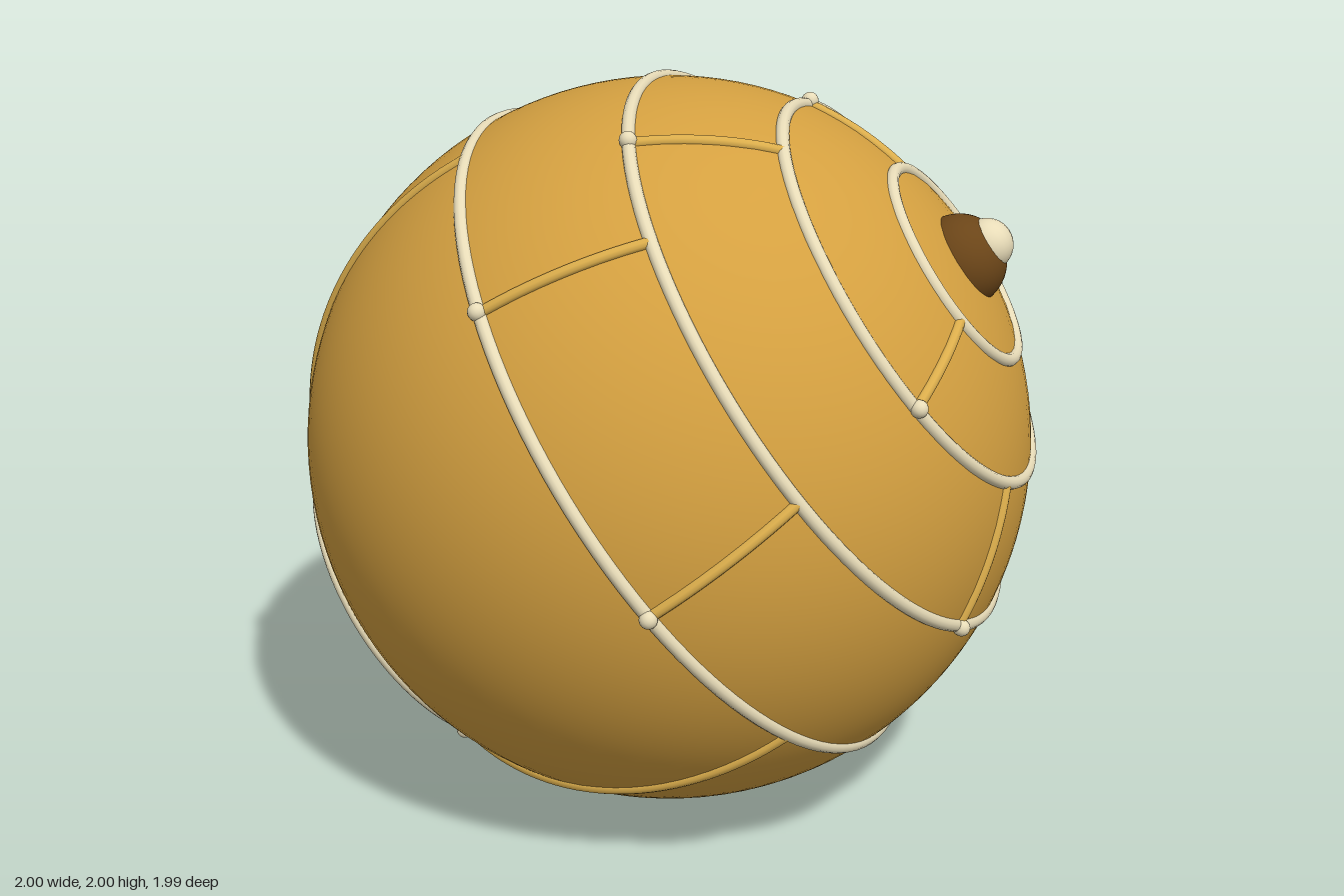
import * as THREE from 'three';

const R = 0.993; // shell radius
const material = (color) => new THREE.MeshStandardMaterial({ color });

// Point on the globe: theta from the +z pole, phi around it (degrees)
function globePoint(radius, theta, phi) {
  const t = THREE.MathUtils.degToRad(theta);
  const p = THREE.MathUtils.degToRad(phi);
  return new THREE.Vector3(Math.sin(t) * Math.cos(p), Math.sin(t) * Math.sin(p), Math.cos(t)).multiplyScalar(radius);
}

export function createModel() {
  const gold = material(0xd4a040);
  const strutGold = material(0xdcae4c);
  const cream = material(0xe8dcb8);
  const brown = material(0x6b4518);

  const model = new THREE.Group();
  model.name = 'bandedGlobe';
  const globe = new THREE.Group();
  globe.name = 'globe';
  model.add(globe);

  function add(name, geometry, mat, position) {
    const mesh = new THREE.Mesh(geometry, mat);
    mesh.name = name;
    if (position) mesh.position.copy(position);
    globe.add(mesh);
    return mesh;
  }

  // Shell
  add('shell', new THREE.SphereGeometry(R, 96, 64), gold);

  // Latitude rings, each with the struts that reach it from the ring before
  const rings = [
    { theta: 17, struts: [] },
    { theta: 35.5, struts: [72.6, 197.7, 318] },
    { theta: 58.2, struts: [118.2, 244.1, 353] },
    { theta: 84.5, struts: [56.3, 141.6, 191.9, 277.8, 348.2] },
    { theta: 150, struts: [22, 107.5, 225.5, 312] },
  ];
  const ringRadius = 0.99;
  const nodeGeometry = new THREE.SphereGeometry(0.023, 16, 12);

  rings.forEach(({ theta, struts }, i) => {
    const t = THREE.MathUtils.degToRad(theta);
    add('ring', new THREE.TorusGeometry(ringRadius * Math.sin(t), 0.018, 12, 112), cream,
      new THREE.Vector3(0, 0, ringRadius * Math.cos(t)));

    for (const phi of struts) {
      const start = rings[i - 1].theta;
      const points = [];
      for (let k = 0; k <= 12; k++) {
        points.push(globePoint(ringRadius + 0.002, start + (theta - start) * k / 12, phi));
      }
      const path = new THREE.CatmullRomCurve3(points);
      add('strut', new THREE.TubeGeometry(path, 32, 0.015, 10), strutGold);
      add('strutNode', nodeGeometry, cream, globePoint(1.003, theta, phi));
    }
  });

  // Knob at the pole
  add('knobBase', new THREE.SphereGeometry(0.125, 32, 24), brown, new THREE.Vector3(0, 0, 0.96));
  add('knobTip', new THREE.SphereGeometry(0.07, 24, 18), cream, new THREE.Vector3(0, 0, 1.045));

  // Tilt the pole up, forward and to the model's left
  const pole = new THREE.Vector3(0.47, 0.58, 0.67).normalize();
  const side = new THREE.Vector3(0, 1, 0).cross(pole).normalize();
  const up = pole.clone().cross(side);
  globe.quaternion.setFromRotationMatrix(new THREE.Matrix4().makeBasis(side, up, pole));
  globe.position.set(-0.006, R, 0);

  return model;
}
